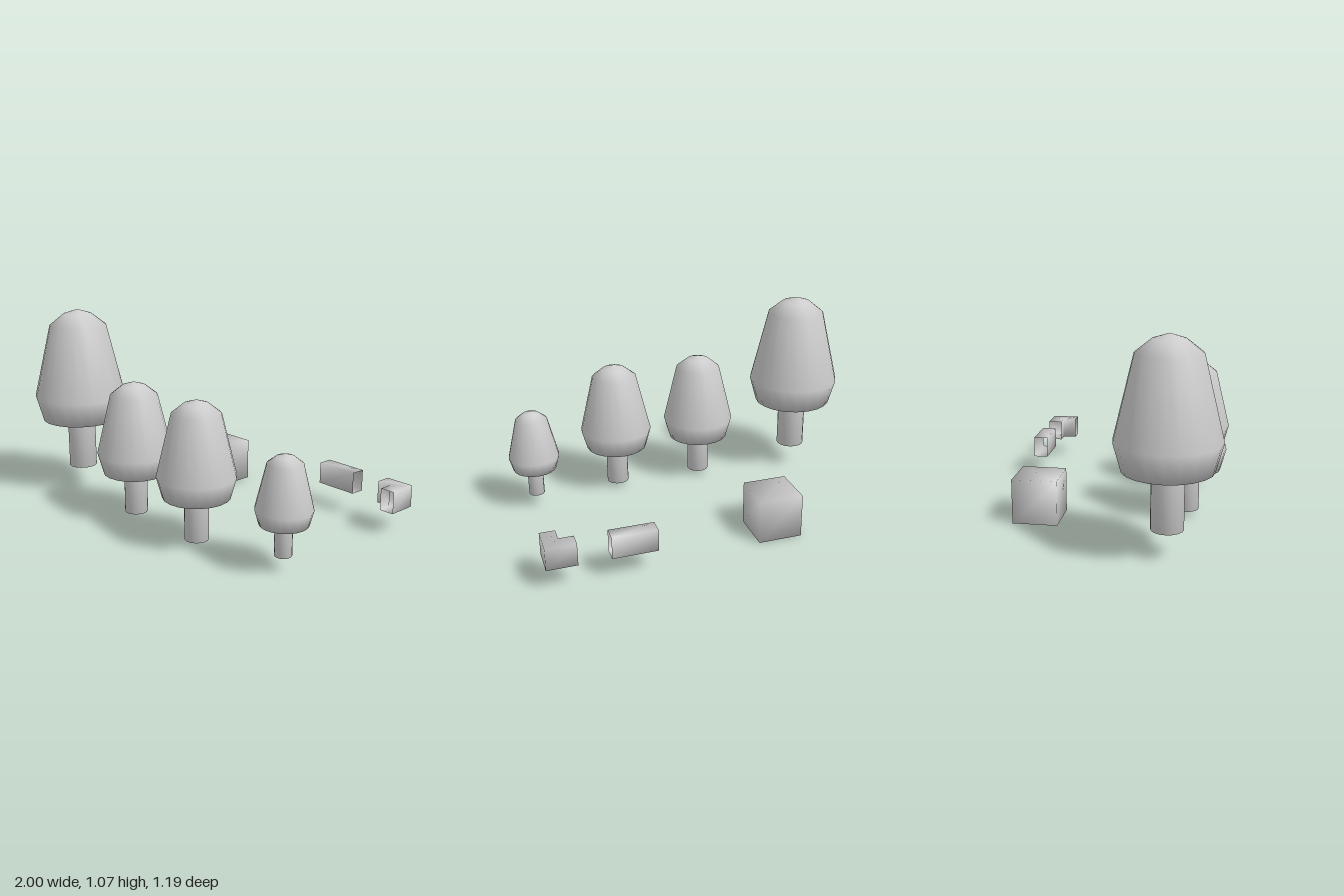
import * as THREE from 'three';
import { mergeVertices } from 'three/addons/utils/BufferGeometryUtils.js';

const grey = new THREE.MeshStandardMaterial({ color: 0xcccccc });
const thin = new THREE.MeshStandardMaterial({ color: 0xcccccc, side: THREE.DoubleSide });

function mesh(name, geometry, material = grey) {
  const m = new THREE.Mesh(geometry, material);
  m.name = name;
  return m;
}

function lathe(points, segments) {
  return new THREE.LatheGeometry(points.map(([r, y]) => new THREE.Vector2(r, y)), segments);
}

// Tree: capped trunk and a rounded, tapering crown; r is the widest crown radius
function tree(name, x, z, r, base, crownBase, top) {
  const group = new THREE.Group();
  group.name = name;
  const h = top - crownBase;
  const trunkR = r * 0.31;
  group.add(
    mesh('trunk', lathe([[0, base], [trunkR, base], [trunkR, crownBase + 0.01]], 16)),
    mesh('crown', lathe([
      [0, crownBase],
      [r * 0.85, crownBase],
      [r, crownBase + h * 0.22],
      [r * 0.62, crownBase + h * 0.86],
      [r * 0.31, crownBase + h * 0.96],
      [0, top],
    ], 20)),
  );
  group.position.set(x, 0, z);
  return group;
}

// Block with its normals blended across the edges
function softBlock(size) {
  let g = new THREE.BoxGeometry(size, size, size);
  g.deleteAttribute('uv');
  g.deleteAttribute('normal');
  g = mergeVertices(g);
  g.computeVertexNormals();
  return g;
}

// Open-ended rectangular duct; each section is [outer x, outer z, inner x, inner z]
function duct(sections, y0, y1) {
  const pos = [], index = [];
  for (const [ox, oz, ix, iz] of sections) {
    pos.push(ox, y0, oz, ix, y0, iz, ix, y1, iz, ox, y1, oz);
  }
  for (let i = 0; i < sections.length - 1; i++) {
    for (let k = 0; k < 4; k++) {
      const a = i * 4 + k, b = i * 4 + (k + 1) % 4;
      index.push(a, a + 4, b + 4, a, b + 4, b);
    }
  }
  const g = new THREE.BufferGeometry();
  g.setAttribute('position', new THREE.Float32BufferAttribute(pos, 3));
  g.setIndex(index);
  g.computeVertexNormals();
  return g;
}

export function createModel() {
  const model = new THREE.Group();
  model.name = 'treesAndBlocks';

  // Row of trees
  model.add(
    tree('largeTree', -0.74, 0.333, 0.26, 0.14, 0.43, 1.072),
    tree('mediumTreeRight', -0.146, 0.385, 0.203, 0.033, 0.26, 0.76),
    tree('mediumTreeLeft', 0.359, 0.385, 0.203, 0.033, 0.26, 0.76),
    tree('smallTree', 0.858, 0.28, 0.14, 0.082, 0.24, 0.585),
  );

  // Cube block
  const block = mesh('cubeBlock', softBlock(0.24));
  block.position.set(-0.308, 0.12, -0.39);
  model.add(block);

  // Straight and corner wall pieces
  const back = -0.595, front = -0.515;
  model.add(
    mesh('straightWall', duct([
      [0.39, back, 0.39, front],
      [0.628, back, 0.628, front],
    ], 0.122, 0.241), thin),
    mesh('cornerWall', duct([
      [0.795, back, 0.795, front],
      [0.952, back, 0.872, front],
      [0.952, -0.436, 0.872, -0.436],
    ], 0.122, 0.241), thin),
  );
  return model;
}
